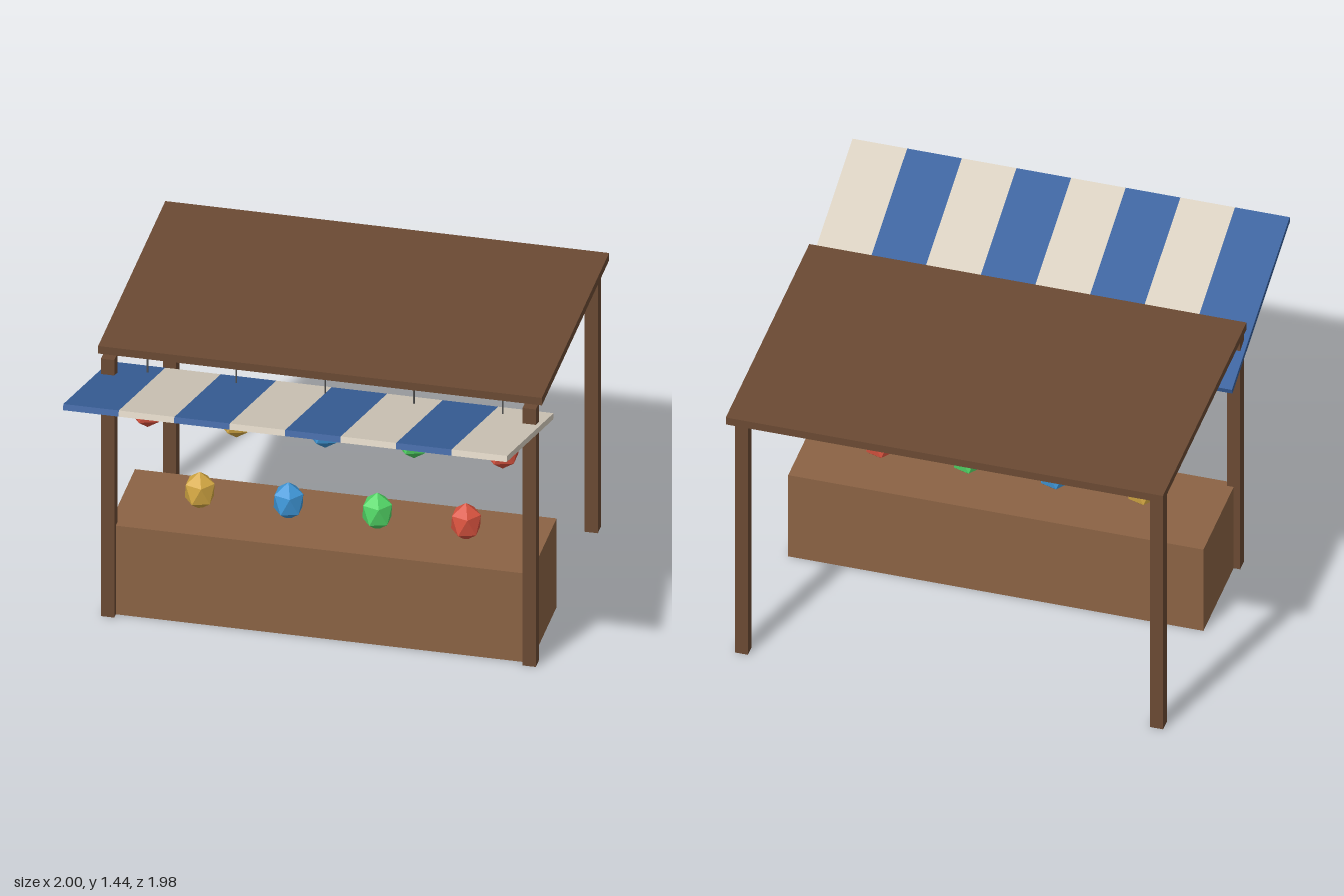
import * as THREE from 'three';

const paint = (name, color) => {
  const m = new THREE.MeshStandardMaterial({ color });
  m.name = name;
  return m;
};

export function createModel() {
  const darkWood = paint('dark wood', 0x6b4a33);
  const lightWood = paint('light wood', 0x8b6344);
  const clothBlue = paint('cloth blue', 0x3a629e);
  const clothCream = paint('cloth cream', 0xd9d0c0);
  const cord = paint('cord grey', 0x555555);
  const gold = paint('gold', 0xd4a843);
  const glass = [
    paint('red', 0xd9533f), gold, paint('sky blue', 0x3f97d8), paint('green', 0x52d666),
  ];

  const model = new THREE.Group();
  model.name = 'marketStall';

  const add = (parent, name, geometry, material, x, y, z) => {
    const mesh = new THREE.Mesh(geometry, material);
    mesh.name = name;
    mesh.position.set(x, y, z);
    parent.add(mesh);
    return mesh;
  };

  // Four corner posts
  const postGeo = new THREE.BoxGeometry(0.06, 1.307, 0.06);
  for (const x of [-0.95, 0.95]) {
    add(model, 'frontPost', postGeo, darkWood, x, 0.6535, 0.31);
    add(model, 'backPost', postGeo, darkWood, x, 0.6535, -0.889);
  }

  // Flat roof and counter
  add(model, 'roof', new THREE.BoxGeometry(2, 0.038, 1.3), darkWood, 0, 1.332, -0.341);
  add(model, 'counter', new THREE.BoxGeometry(1.9, 0.45, 0.5), lightWood, 0, 0.225, 0.06);

  // Striped awning, rising towards the front
  const awning = new THREE.Group();
  awning.name = 'awning';
  awning.position.set(0, 1.278, 0.536);
  awning.rotation.x = -Math.PI / 10;
  model.add(awning);
  const stripeGeo = new THREE.BoxGeometry(0.25, 0.028, 0.946);
  for (let i = 0; i < 8; i++) {
    add(awning, 'awningStripe', stripeGeo, i % 2 ? clothCream : clothBlue, -0.875 + i * 0.25, 0, 0);
  }

  // Stretched gem standing on one of its points
  const gem = (radius, height) => new THREE.IcosahedronGeometry(1, 0)
    .rotateX(-Math.atan((1 + Math.sqrt(5)) / 2))
    .rotateY(Math.PI / 2)
    .scale(radius, height, radius);

  // Hanging lanterns: gem, faceted cap and cord
  const lanternGeo = gem(0.083, 0.104);
  const capGeo = new THREE.ConeGeometry(0.056, 0.074, 6).toNonIndexed();
  capGeo.computeVertexNormals();
  const cordGeo = new THREE.CylinderGeometry(0.004, 0.004, 0.125, 6);
  const hangLantern = (x, z, material) => {
    const lantern = new THREE.Group();
    lantern.name = 'hangingLantern';
    lantern.position.set(x, 1.014, z);
    model.add(lantern);
    add(lantern, 'lanternBody', lanternGeo, material, 0, 0, 0);
    add(lantern, 'lanternCap', capGeo, gold, 0, 0.139, 0);
    add(lantern, 'lanternCord', cordGeo, cord, 0, 0.2325, 0);
  };
  for (let i = 0; i < 5; i++) hangLantern(-0.8 + i * 0.4, 0.21, glass[i % 4]);
  for (let i = 0; i < 4; i++) hangLantern(-0.8 + i * 0.4, -0.389, glass[(i + 1) % 4]);

  // Small lanterns displayed on the counter
  const displayGeo = gem(0.075, 0.094);
  for (let i = 0; i < 4; i++) {
    add(model, 'displayLantern', displayGeo, glass[(i + 1) % 4], -0.6 + i * 0.4, 0.53, 0.06);
  }

  return model;
}
